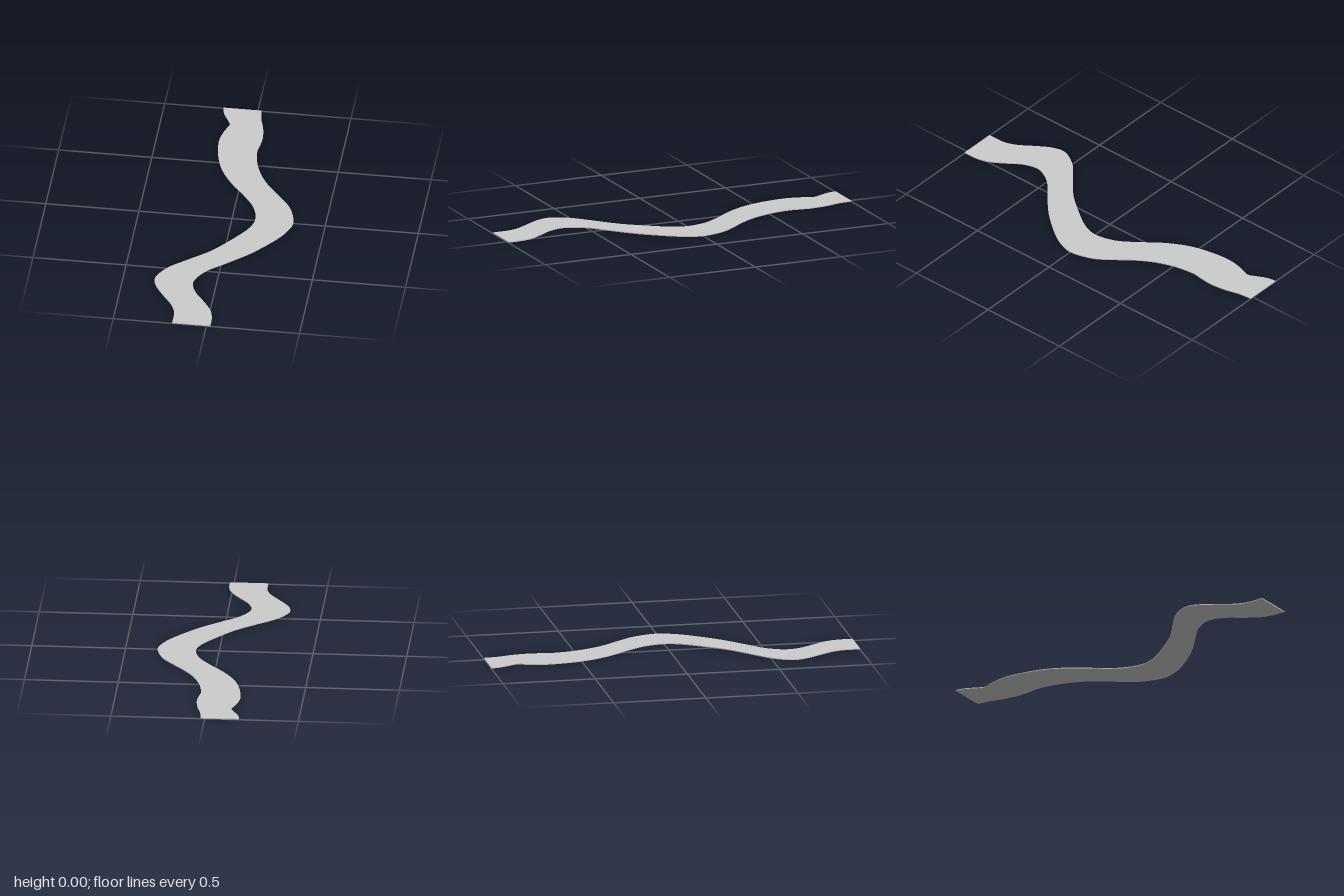
import * as THREE from 'three';

const THICKNESS = 0.005;

// Banks of the winding strip as [x, z], from back to front
const RIGHT_BANK = [
  [-0.184, -1], [-0.175, -0.95], [-0.146, -0.89], [-0.13, -0.85], [-0.146, -0.8],
  [-0.161, -0.74], [-0.166, -0.67], [-0.152, -0.56], [-0.125, -0.46], [-0.087, -0.38],
  [-0.035, -0.3], [0.035, -0.212], [0.098, -0.115], [0.124, -0.01], [0.105, 0.075],
  [0.042, 0.175], [-0.064, 0.31], [-0.183, 0.415], [-0.268, 0.49], [-0.318, 0.565],
  [-0.331, 0.62], [-0.31, 0.685], [-0.262, 0.76], [-0.214, 0.83], [-0.189, 0.89],
  [-0.184, 0.94], [-0.184, 1],
];
const LEFT_BANK = [
  [0.021, -1], [0.03, -0.92], [0.05, -0.845], [0.061, -0.755], [0.056, -0.685],
  [0.049, -0.62], [0.066, -0.51], [0.104, -0.405], [0.157, -0.315], [0.23, -0.222],
  [0.294, -0.13], [0.328, -0.015], [0.315, 0.06], [0.264, 0.157], [0.145, 0.305],
  [0.021, 0.42], [-0.064, 0.495], [-0.112, 0.57], [-0.123, 0.63], [-0.098, 0.705],
  [-0.042, 0.785], [0.003, 0.86], [0.02, 0.93], [0.021, 1],
];

// Smooth curve along a bank, in shape space (shape y = -z)
function smoothBank(points) {
  const curve = new THREE.SplineCurve(points.map(([x, z]) => new THREE.Vector2(x, -z)));
  return curve.getPoints((points.length - 1) * 4);
}

export function createModel() {
  const group = new THREE.Group();
  group.name = 'windingPath';

  // Closed outline: down one bank, back up the other
  const outline = [...smoothBank(RIGHT_BANK), ...smoothBank(LEFT_BANK).reverse()];
  const geometry = new THREE.ExtrudeGeometry(new THREE.Shape(outline), {
    depth: THICKNESS,
    bevelEnabled: false,
  });
  geometry.rotateX(-Math.PI / 2);

  // Thin slab lying on the ground
  const slab = new THREE.Mesh(geometry, new THREE.MeshStandardMaterial({ color: 0xcccccc }));
  slab.name = 'pathSlab';
  group.add(slab);
  return group;
}
